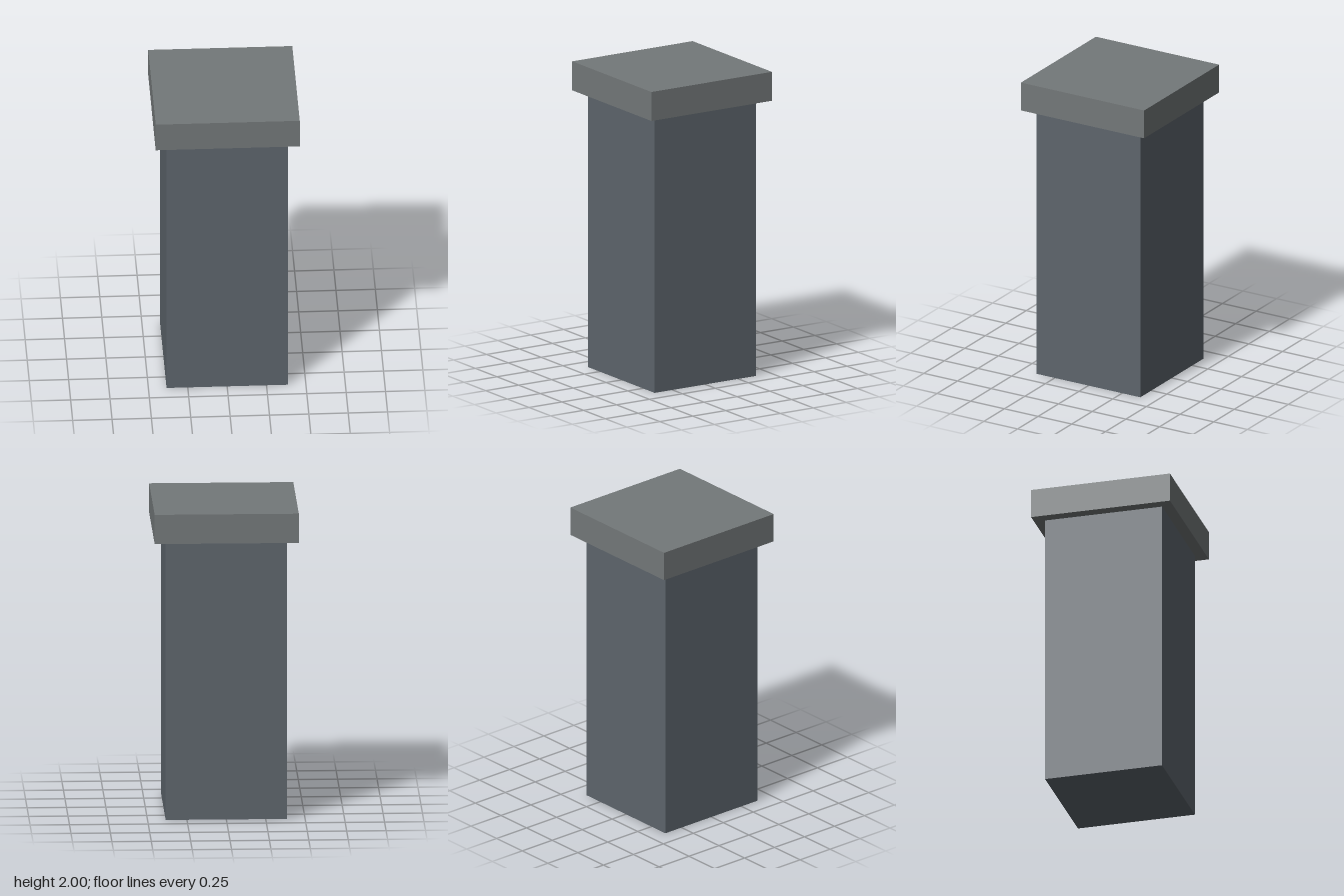
import * as THREE from 'three';

// Square block standing on height y0
function block(name, width, y0, y1, color) {
  const mesh = new THREE.Mesh(
    new THREE.BoxGeometry(width, y1 - y0, width),
    new THREE.MeshStandardMaterial({ color, flatShading: true })
  );
  mesh.name = name;
  mesh.position.y = (y0 + y1) / 2;
  return mesh;
}

export function createModel() {
  const model = new THREE.Group();
  model.name = 'pillar';
  const capBase = 1.81;
  // Square shaft with a wider slab on top
  model.add(block('shaft', 0.77, 0, capBase, 0x5d656c));
  model.add(block('cap', 0.915, capBase, 2, 0x737879));
  return model;
}
